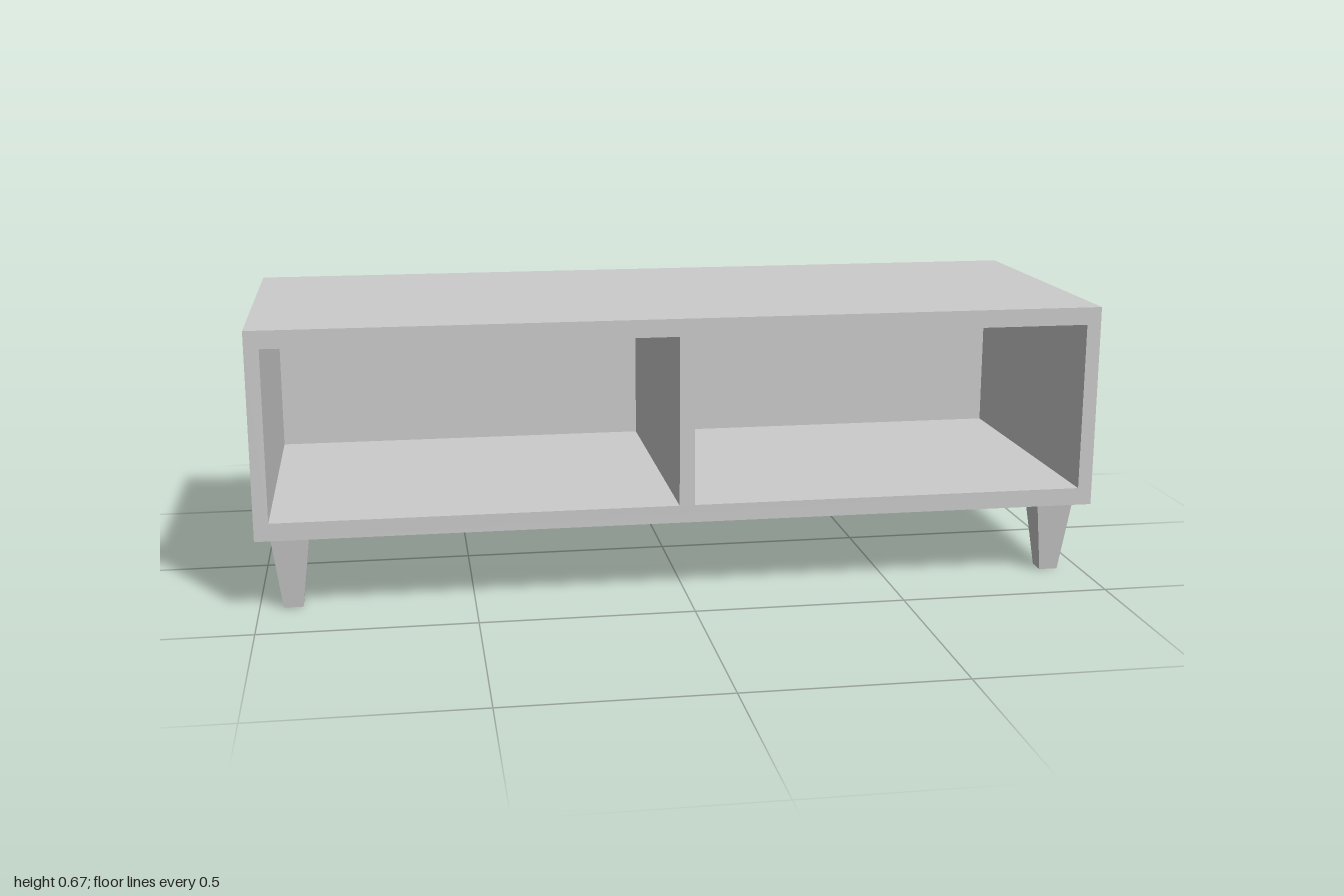
import * as THREE from 'three';

const W = 2, D = 0.766, LEG = 0.18, TOP = 0.668;
const SIDE = 0.034, RAIL = 0.042, DIVIDER = 0.036, BACK = 0.03;

const material = new THREE.MeshStandardMaterial({ color: 0xcccccc, flatShading: true });

function rectangle(PathType, x0, y0, x1, y1) {
  return new PathType([[x0, y0], [x1, y0], [x1, y1], [x0, y1]].map(([x, y]) => new THREE.Vector2(x, y)));
}

function addMesh(parent, name, geometry, x, y, z) {
  const mesh = new THREE.Mesh(geometry, material);
  mesh.name = name;
  mesh.position.set(x, y, z);
  parent.add(mesh);
}

export function createModel() {
  const model = new THREE.Group();
  model.name = 'lowMediaCabinet';

  // Cabinet shell: outer frame with two open compartments and a divider
  const outline = rectangle(THREE.Shape, -W / 2, LEG, W / 2, TOP);
  const inner = DIVIDER / 2, outer = W / 2 - SIDE;
  outline.holes.push(
    rectangle(THREE.Path, -outer, LEG + RAIL, -inner, TOP - RAIL),
    rectangle(THREE.Path, inner, LEG + RAIL, outer, TOP - RAIL)
  );
  const shell = new THREE.ExtrudeGeometry(outline, { depth: D - BACK, bevelEnabled: false });
  addMesh(model, 'cabinetShell', shell, 0, 0, -D / 2 + BACK);

  // Back panel closing both compartments
  addMesh(model, 'backPanel', new THREE.BoxGeometry(W, TOP - LEG, BACK), 0, (LEG + TOP) / 2, (-D + BACK) / 2);

  // Square legs tapering towards the floor
  const leg = new THREE.CylinderGeometry(0.045 * Math.SQRT2, 0.0225 * Math.SQRT2, LEG, 4).rotateY(Math.PI / 4);
  for (const [sx, xName] of [[1, 'Left'], [-1, 'Right']]) {
    for (const [sz, zName] of [[1, 'front'], [-1, 'back']]) {
      addMesh(model, `${zName}${xName}Leg`, leg, sx * 0.922, LEG / 2, sz * 0.305);
    }
  }
  return model;
}
